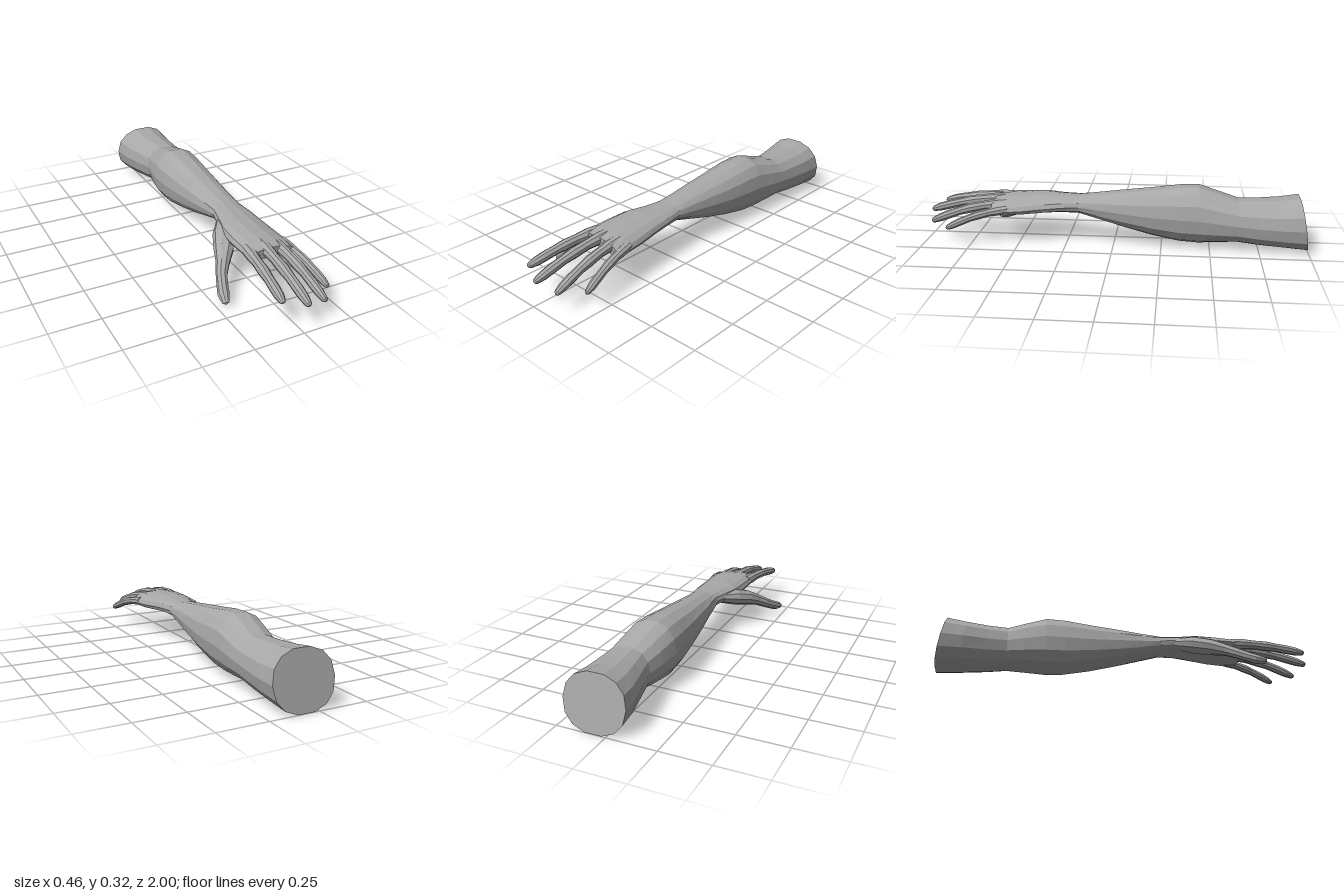
import * as THREE from 'three';

const skin = new THREE.MeshStandardMaterial({ color: 0xa8a8a8, flatShading: true });
skin.name = 'plain grey';

// Skins a list of equal rings of points, closing both ends with a fan.
function skinRings(name, rings) {
  const n = rings[0].length, pos = [], idx = [];
  rings.forEach(r => r.forEach(p => pos.push(p.x, p.y, p.z)));
  for (let i = 0; i < rings.length - 1; i++) {
    for (let j = 0; j < n; j++) {
      const a = i * n + j, b = i * n + (j + 1) % n;
      idx.push(a, b, a + n, b, b + n, a + n);
    }
  }
  const last = (rings.length - 1) * n;
  for (let j = 1; j < n - 1; j++) {
    idx.push(0, j + 1, j, last, last + j, last + j + 1);
  }
  const geo = new THREE.BufferGeometry();
  geo.setAttribute('position', new THREE.Float32BufferAttribute(pos, 3));
  geo.setIndex(idx);
  geo.computeVertexNormals();
  const mesh = new THREE.Mesh(geo, skin);
  mesh.name = name;
  return mesh;
}

// Ring across the arm: slightly squared ellipse, rolled, arched and slanted.
function armRing([z, cx, cy, rx, ry, roll = 0, arch = 0, slant = 0], sides = 14) {
  const soft = v => Math.sign(v) * Math.abs(v) ** 0.88;
  return Array.from({ length: sides }, (_, j) => {
    const a = (j / sides) * Math.PI * 2;
    const c = soft(Math.cos(a)), s = soft(Math.sin(a));
    return new THREE.Vector3(cx + rx * c, cy + ry * s + roll * c - arch * c * c, z + slant * s);
  });
}

// Finger from joints [x, y, z, half width, half height], with a rounded tip.
function finger(name, joints, sides = 9) {
  const pts = joints.map(j => new THREE.Vector3(j[0], j[1], j[2]));
  const rings = joints.map((joint, i) => {
    const t = pts[Math.min(i + 1, pts.length - 1)].clone().sub(pts[Math.max(i - 1, 0)]).normalize();
    const right = new THREE.Vector3(0, 1, 0).cross(t).normalize();
    const up = t.clone().cross(right);
    return { c: pts[i], t, right, up, w: joint[3], h: joint[4] };
  });
  const end = rings[rings.length - 1];
  for (const [ahead, size] of [[0.55, 0.82], [0.9, 0.4]]) {
    rings.push({ ...end, c: end.c.clone().addScaledVector(end.t, ahead * end.w), w: end.w * size, h: end.h * size });
  }
  return skinRings(name, rings.map(r => Array.from({ length: sides }, (_, j) => {
    const a = ((j + 0.5) / sides) * Math.PI * 2;
    return r.c.clone().addScaledVector(r.right, r.w * Math.cos(a)).addScaledVector(r.up, r.h * Math.sin(a));
  })));
}

export function createModel() {
  const group = new THREE.Group();
  group.name = 'arm';

  // Upper arm stump, elbow, forearm, wrist and palm in one skin
  group.add(skinRings('forearmAndPalm', [
    [-0.974, 0.065, 0.143, 0.158, 0.141, 0, 0, 0.025],
    [-0.86, 0.07, 0.142, 0.15, 0.128, 0, 0, 0.012],
    [-0.74, 0.08, 0.146, 0.132, 0.119],
    [-0.64, 0.087, 0.153, 0.119, 0.112],
    [-0.55, 0.075, 0.162, 0.128, 0.13],
    [-0.44, 0.063, 0.173, 0.133, 0.152],
    [-0.34, 0.062, 0.174, 0.13, 0.147],
    [-0.2, 0.063, 0.179, 0.119, 0.124],
    [-0.05, 0.062, 0.19, 0.104, 0.096],
    [0.08, 0.062, 0.202, 0.09, 0.068],
    [0.18, 0.062, 0.212, 0.083, 0.046],
    [0.27, 0.057, 0.216, 0.1, 0.042, 0, 0.006],
    [0.36, 0.047, 0.216, 0.117, 0.044, -0.004, 0.01],
    [0.47, 0.05, 0.212, 0.127, 0.043, -0.008, 0.012],
    [0.57, 0.056, 0.211, 0.131, 0.037, -0.01, 0.014],
    [0.635, 0.06, 0.208, 0.127, 0.027, -0.01, 0.014],
  ].map(r => armRing(r))));

  // Thumb with its fleshy base
  group.add(finger('thumb', [
    [-0.005, 0.205, 0.26, 0.035, 0.03],
    [-0.05, 0.185, 0.35, 0.055, 0.045],
    [-0.095, 0.158, 0.435, 0.05, 0.042],
    [-0.135, 0.128, 0.5, 0.034, 0.032],
    [-0.168, 0.097, 0.55, 0.028, 0.028],
    [-0.19, 0.07, 0.6, 0.028, 0.026],
    [-0.205, 0.052, 0.64, 0.029, 0.025],
    [-0.214, 0.043, 0.67, 0.022, 0.019],
  ]));

  // Four fingers: base, tip, and height of the middle bend
  const fingers = [
    ['indexFinger', [-0.042, 0.211, 0.56], [-0.084, 0.164, 0.935], 0.012, 1],
    ['middleFinger', [0.034, 0.222, 0.56], [0.02, 0.145, 0.982], 0.016, 1],
    ['ringFinger', [0.105, 0.213, 0.56], [0.128, 0.117, 0.952], 0.02, 0.97],
    ['littleFinger', [0.158, 0.197, 0.55], [0.212, 0.108, 0.853], 0.016, 0.85],
  ];
  // Fraction along the finger and half width at each station
  const stations = [[0, 0.03], [0.16, 0.031], [0.32, 0.026], [0.5, 0.028], [0.64, 0.024], [0.8, 0.025], [0.92, 0.023], [1, 0.017]];
  for (const [name, base, tip, bend, scale] of fingers) {
    group.add(finger(name, stations.map(([f, w]) => [
      base[0] + (tip[0] - base[0]) * f,
      base[1] + (tip[1] - base[1]) * f + bend * Math.sin(f * Math.PI),
      base[2] + (tip[2] - base[2]) * f,
      w * scale, w * scale * 0.95,
    ])));
  }
  return group;
}
